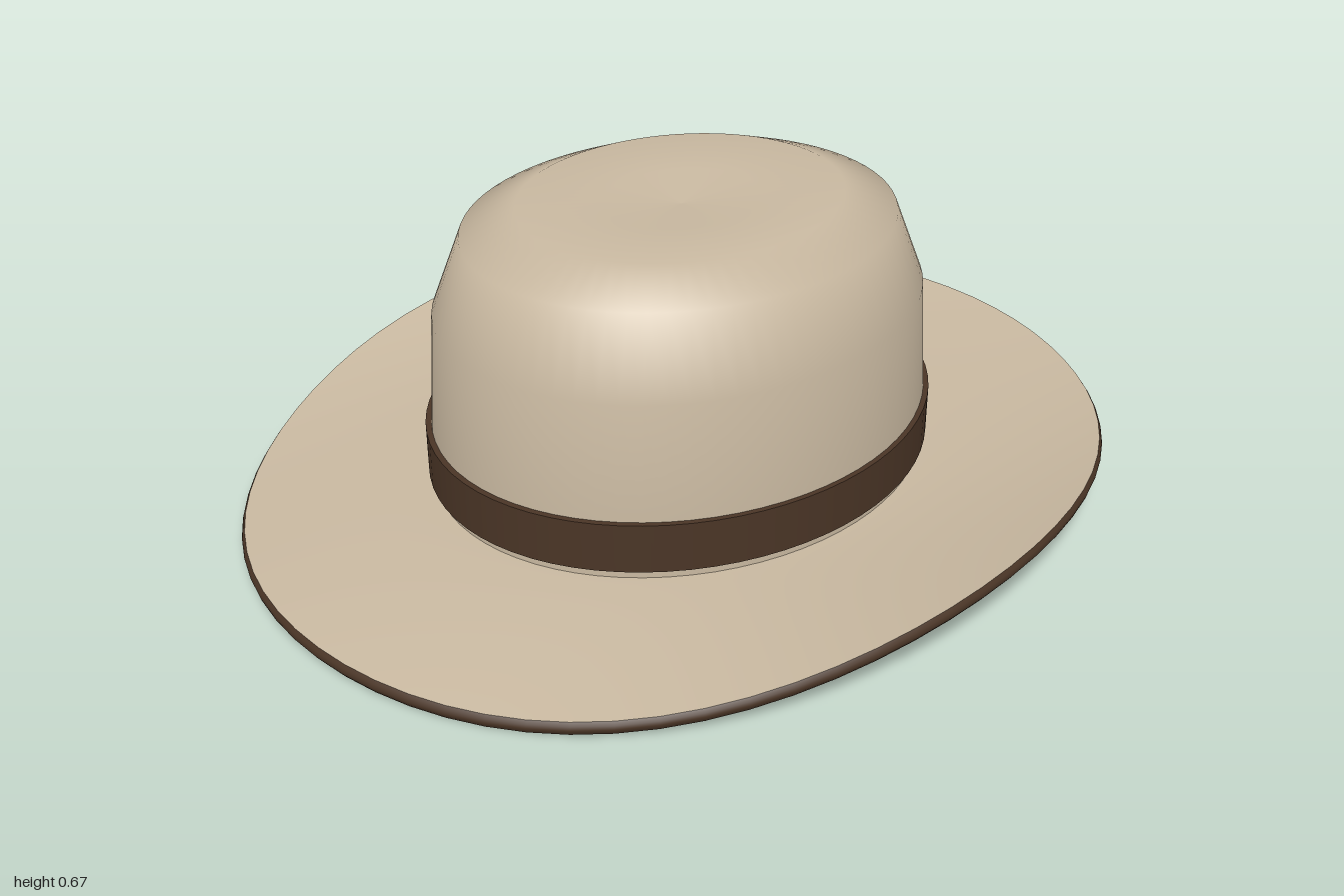
import * as THREE from 'three';
import { ParametricGeometry } from 'three/addons/geometries/ParametricGeometry.js';

const OVAL = 1.166; // depth to width ratio of the head opening
const SEGMENTS = 72;

function material(name, color, side = THREE.FrontSide) {
  const m = new THREE.MeshStandardMaterial({ color, side });
  m.name = name;
  return m;
}

function mesh(name, geometry, mat) {
  const m = new THREE.Mesh(geometry, mat);
  m.name = name;
  return m;
}

// Lathe stretched front to back
function ovalLathe(profile) {
  const points = profile.map(([x, y]) => new THREE.Vector2(x, y));
  return new THREE.LatheGeometry(points, SEGMENTS).scale(1, 1, OVAL);
}

// Height of the brim's rim: raised sides, dipped front, slightly uneven
function rimHeight(a) {
  const c = Math.cos(a), s = Math.sin(a);
  return 0.115 - 0.075 * s - 0.151 * s ** 2 + 0.047 * s ** 3 + 0.088 * s ** 4
    + 0.012 * c * (c * c - 0.55);
}

// Point on the brim: t from opening to rim, h from underside (-1) to top (1)
function brimPoint(t, turn, h, bulge, target) {
  const a = turn * Math.PI * 2;
  const rx = THREE.MathUtils.lerp(0.485, 0.868, t) + bulge;
  const rz = THREE.MathUtils.lerp(0.485 * OVAL, 0.993, t) + bulge;
  const y = THREE.MathUtils.lerp(0.055, rimHeight(a), t ** 1.6);
  target.set(rx * Math.cos(a), y + h * 0.0145, rz * Math.sin(a));
}

function createBrim(felt, trim) {
  const brim = new THREE.Group();
  brim.name = 'brim';
  const surface = (fn, u, v) => new ParametricGeometry(fn, u, v);
  brim.add(
    mesh('brimTop', surface((u, v, p) => brimPoint(v, u, 1, 0, p), SEGMENTS, 12), felt),
    mesh('brimUnderside', surface((u, v, p) => brimPoint(u, v, -1, 0, p), 12, SEGMENTS), felt),
    mesh('brimOpeningEdge', surface((u, v, p) => brimPoint(0, u, v * 2 - 1, 0, p), SEGMENTS, 1), felt),
    // rounded dark binding around the rim
    mesh('brimBinding', surface((u, v, p) =>
      brimPoint(1, v, u * 2 - 1, 0.007 * Math.sin(u * Math.PI), p), 4, SEGMENTS), trim)
  );
  return brim;
}

// Rectangular frame on the side of the band
function createBuckle(mat) {
  const w = 0.08, h = 0.046, bar = 0.013;
  const rectangle = (Type, x, y) => new Type([
    new THREE.Vector2(-x, -y), new THREE.Vector2(x, -y),
    new THREE.Vector2(x, y), new THREE.Vector2(-x, y)
  ]);
  const shape = rectangle(THREE.Shape, w, h);
  shape.holes.push(rectangle(THREE.Path, w - bar, h - bar));
  const geometry = new THREE.ExtrudeGeometry(shape, { depth: 0.025, bevelEnabled: false });
  const buckle = mesh('buckle', geometry, mat);
  buckle.rotation.y = -Math.PI / 2;
  buckle.position.set(-0.498, 0.144, -0.008);
  return buckle;
}

export function createModel() {
  const felt = material('beige felt', 0xc8b8a0, THREE.DoubleSide);
  const leather = material('dark brown leather', 0x4a3526);
  const metal = material('dull metal', 0x8a7a66);

  const hat = new THREE.Group();
  hat.name = 'hat';

  // crown with a shallow dished top
  const crown = mesh('crown', ovalLathe([
    [0.494, 0.045], [0.493, 0.2], [0.478, 0.455], [0.42, 0.62],
    [0.315, 0.668], [0.15, 0.658], [0, 0.645]
  ]), felt);

  // band with crisp corners, made by doubling the corner points
  const band = mesh('hatBand', ovalLathe([
    [0.488, 0.09], [0.504, 0.09], [0.504, 0.09], [0.504, 0.2],
    [0.504, 0.2], [0.488, 0.2]
  ]), leather);

  hat.add(crown, band, createBrim(felt, leather), createBuckle(metal));
  return hat;
}
